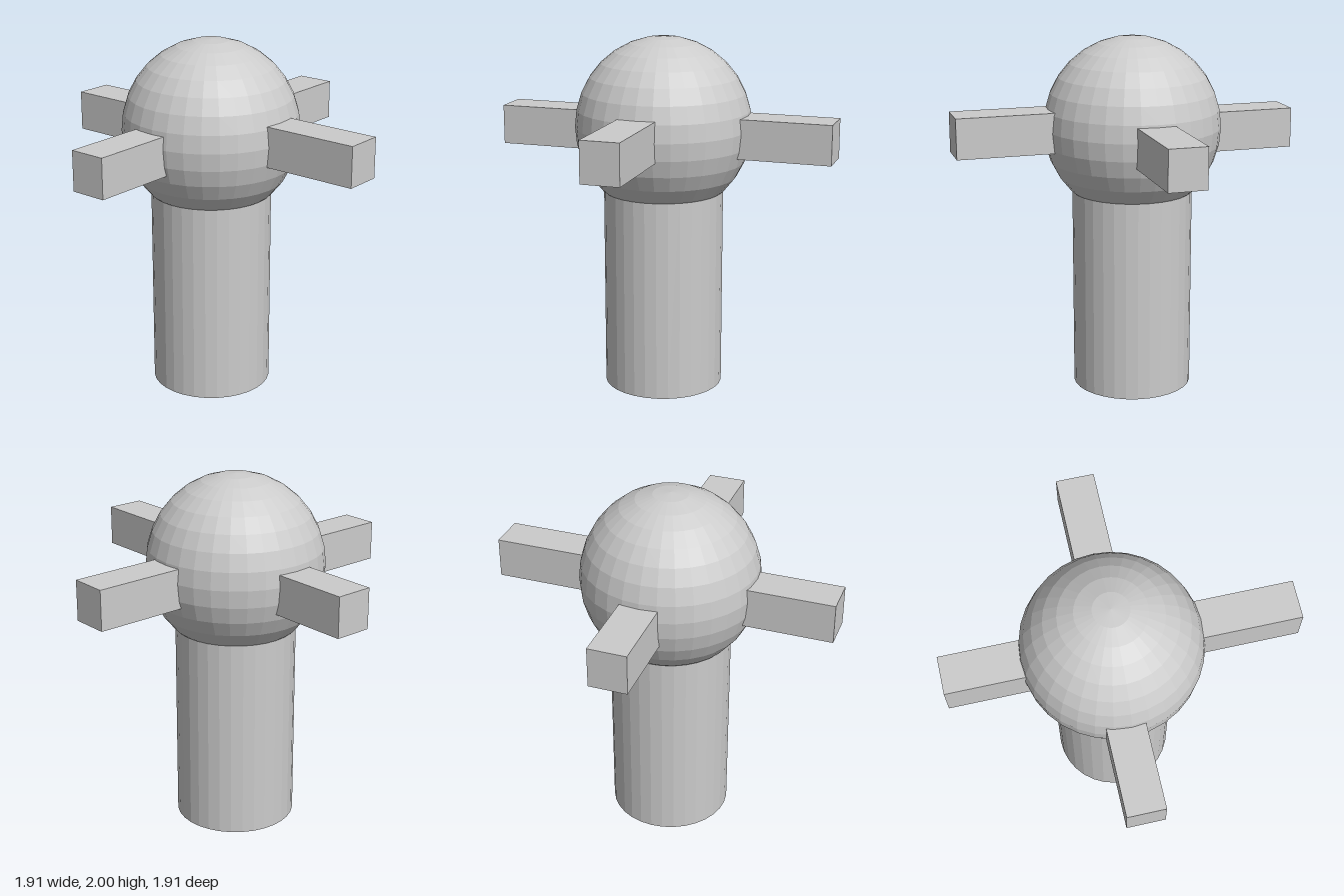
import * as THREE from 'three';

export function createModel() {
  const group = new THREE.Group();
  const material = new THREE.MeshStandardMaterial({ color: 0xcccccc, flatShading: true });
  const cx = -0.05, cz = 0.017;

  const add = (name, geometry, x, y, z) => {
    const mesh = new THREE.Mesh(geometry, material);
    mesh.name = name;
    mesh.position.set(x, y, z);
    group.add(mesh);
    return mesh;
  };

  // Round post, its top hidden inside the head
  add('post', new THREE.CylinderGeometry(0.336, 0.336, 1.2, 32), cx, 0.6, cz);

  // Faceted ball on top, very slightly taller than wide
  add('head', new THREE.SphereGeometry(0.493, 32, 16), cx, 1.5, cz).scale.y = 0.5 / 0.493;

  // Four square pegs, each sunk into the ball: [name, min corner, max corner]
  const pegs = [
    ['leftPeg', [0.3, 1.392, -0.09], [0.953, 1.615, 0.122]],
    ['rightPeg', [-0.957, 1.345, -0.095], [-0.4, 1.568, 0.117]],
    ['frontPeg', [-0.181, 1.352, 0.35], [0.026, 1.573, 0.957]],
    ['backPeg', [-0.145, 1.363, -0.957], [0.065, 1.584, -0.35]],
  ];
  for (const [name, a, b] of pegs) {
    const size = b.map((v, i) => v - a[i]);
    const mid = b.map((v, i) => (v + a[i]) / 2);
    add(name, new THREE.BoxGeometry(...size), ...mid);
  }

  return group;
}
